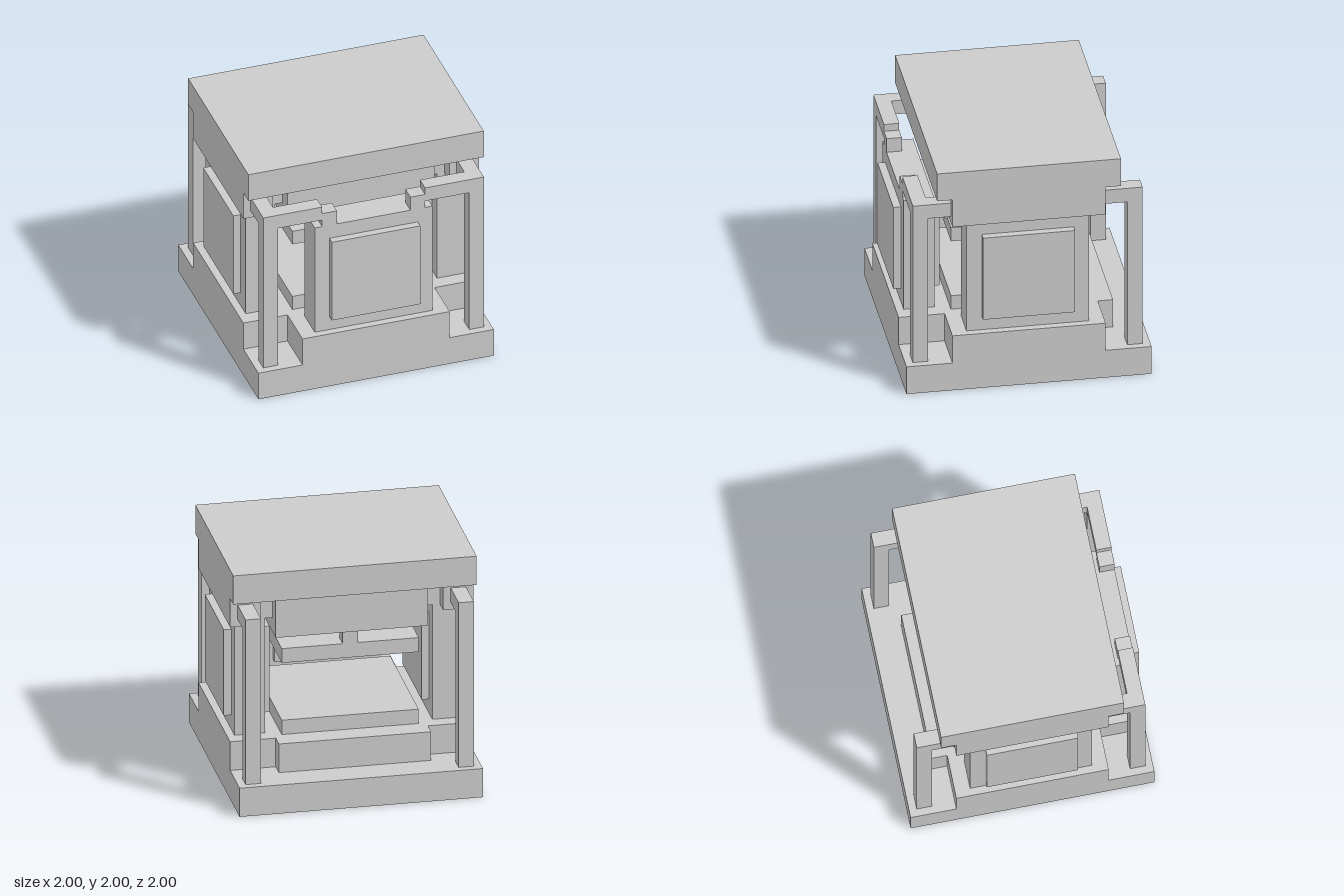
import * as THREE from 'three';

const grey = new THREE.MeshStandardMaterial({ color: 0xcccccc, flatShading: true });

// Box from its lower and upper limits on each axis
function box(parent, name, [x0, x1], [y0, y1], [z0, z1]) {
  const mesh = new THREE.Mesh(new THREE.BoxGeometry(x1 - x0, y1 - y0, z1 - z0), grey);
  mesh.position.set((x0 + x1) / 2, (y0 + y1) / 2, (z0 + z1) / 2);
  mesh.name = name;
  parent.add(mesh);
  return mesh;
}

const span = (h) => [-h, h];
const mirrored = (range, s) => (s > 0 ? range : [-range[1], -range[0]]);

// Upright wall facing +z with a raised panel on both faces
function createWall(name) {
  const wall = new THREE.Group();
  wall.name = name;
  box(wall, 'wallSlab', span(0.5), [0.5, 1.5], [0.6875, 0.9375]);
  box(wall, 'outerPanel', span(0.375), [0.625, 1.375], [0.9375, 1]);
  box(wall, 'innerPanel', span(0.375), [0.625, 1.375], [0.625, 0.6875]);
  return wall;
}

export function createModel() {
  const model = new THREE.Group();
  model.name = 'pavilion';

  // Stepped base
  const base = new THREE.Group();
  base.name = 'base';
  box(base, 'plinth', span(1), [0, 0.25], span(1));
  box(base, 'middleStep', span(1), [0.25, 0.5], span(0.625));
  box(base, 'frontStep', span(0.625), [0.25, 0.5], [0.625, 1]);
  box(base, 'backStep', span(0.625), [0.25, 0.5], [-0.75, -0.625]);
  box(base, 'floorPad', span(0.5625), [0.5, 0.625], span(0.5625));
  model.add(base);

  // Walls on the front and both sides, back left open
  [['frontWall', 0], ['leftWall', Math.PI / 2], ['rightWall', -Math.PI / 2]].forEach(([name, turn]) => {
    const wall = createWall(name);
    wall.rotation.y = turn;
    model.add(wall);
  });

  // Roof with its underside block and side beams
  const roof = new THREE.Group();
  roof.name = 'roof';
  box(roof, 'roofSlab', span(1), [1.75, 2], span(0.75));
  box(roof, 'roofBlock', span(0.625), [1.375, 1.75], span(0.625));
  for (const s of [1, -1]) {
    box(roof, 'sideBeam', mirrored([0.75, 1], s), [1.5, 1.75], span(0.625));
    box(roof, 'beamLink', mirrored([0.625, 0.75], s), [1.5, 1.75], span(0.5));
  }
  model.add(roof);

  // Hanging plate with a short hanger at the middle of each edge
  const press = new THREE.Group();
  press.name = 'hangingPlate';
  box(press, 'plate', span(0.5625), [1.125, 1.25], span(0.5625));
  for (const s of [1, -1]) {
    box(press, 'sideHanger', mirrored([0.4375, 0.5625], s), [1.25, 1.375], span(0.0625));
    box(press, 'endHanger', span(0.0625), [1.25, 1.375], mirrored([0.4375, 0.5625], s));
  }
  model.add(press);

  // Corner pipes: post and arm to the roof; front ones also reach inwards
  const post = [0.8125, 0.9375];
  for (const sx of [1, -1]) {
    const px = mirrored(post, sx);
    for (const sz of [1, -1]) {
      const pipe = new THREE.Group();
      pipe.name = (sz > 0 ? 'front' : 'back') + (sx > 0 ? 'Left' : 'Right') + 'Pipe';
      box(pipe, 'post', px, [0.25, 1.6875], mirrored(post, sz));
      box(pipe, 'roofArm', px, [1.5625, 1.6875], mirrored([0.625, 0.8125], sz));
      if (sz > 0) {
        box(pipe, 'frontArm', mirrored([0.4375, 0.8125], sx), [1.5625, 1.6875], post);
        box(pipe, 'armEnd', mirrored([0.3125, 0.4375], sx), [1.5, 1.625], post);
      }
      model.add(pipe);
    }
  }
  return model;
}
